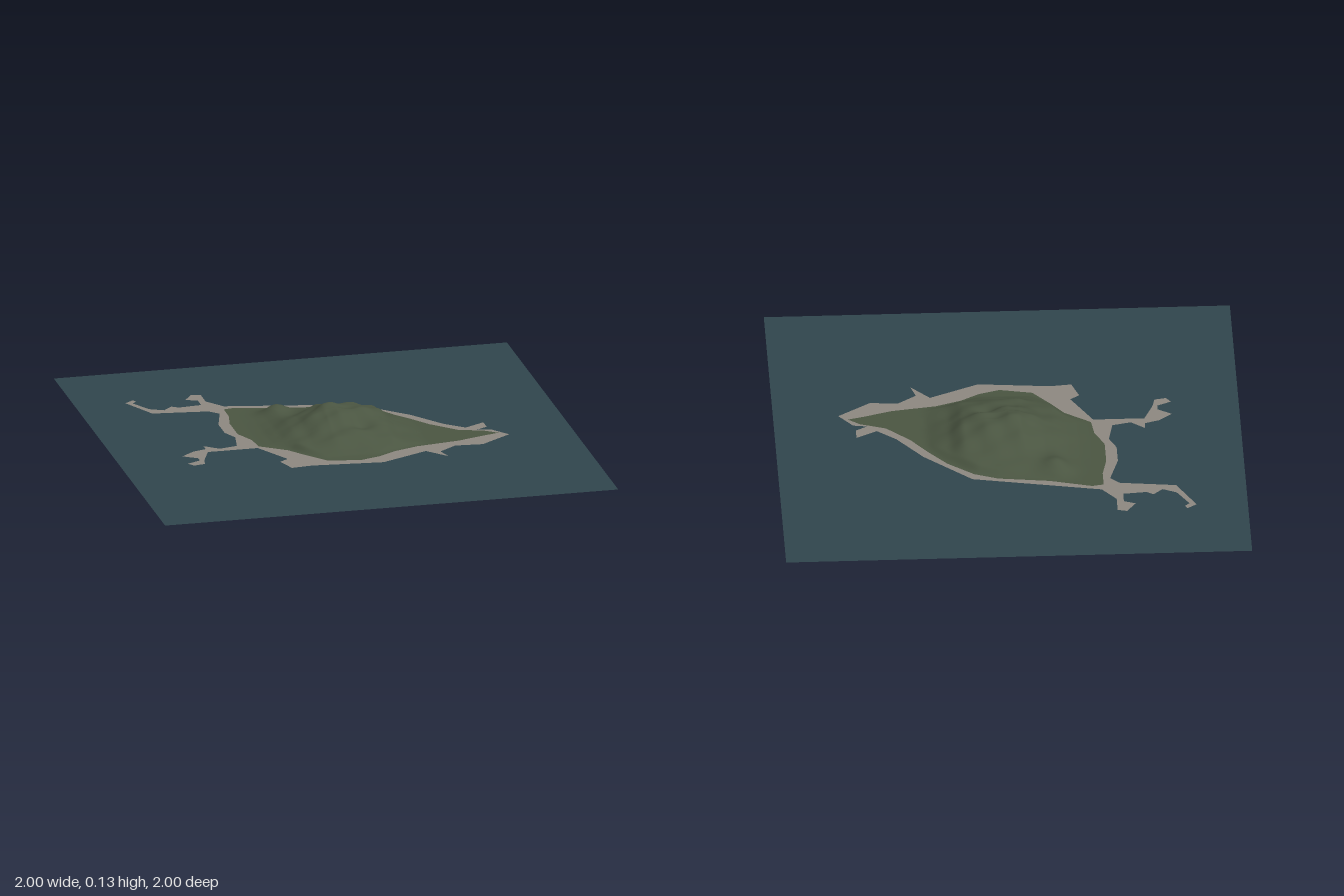
import * as THREE from 'three';

// Coastline and grass edge as x, z pairs in hundredths, clockwise from the back left
const COAST = [
  -38, -47, 17, -36, 37, -17, 48, -2, 56, 5, 65, 0, 65, 6, 60, 9, 66, 10, 72, 18, 58, 28, 46, 27,
  38, 33, 40, 40, 32, 31, 11, 41, -20, 38, -29, 39, -32, 30, -28, 27, -37, 10, -59, 10,
  -63, 20, -64, 25, -69, 26, -71, 23, -65, 20, -65, 17, -71, 13, -65, 8, -59, 6, -59, 2, -53, 7,
  -45, 5, -43, -6, -46, -13, -46, -24, -42, -38, -46, -42, -70, -45, -78, -61, -74, -64, -73, -62,
  -75, -60, -70, -51, -64, -48, -60, -52, -57, -50, -47, -51, -47, -57, -52, -59, -48, -65,
  -44, -64, -44, -55,
];
const GRASS = [
  -39, -43, -34, -44, -16, -39, 6, -36, 16, -32, 27, -23, 35, -13, 42, -3, 52, 7, 63, 11, 68, 15,
  61, 17, 49, 21, 30, 24, 19, 28, 11, 33, 2, 36, -12, 33, -20, 23, -25, 16, -36, 8, -37, -1,
  -41, -10, -41, -24, -39, -34,
];

// Ridge heights in thousandths, every 0.05 from -0.4 to 0.4
const ALONG_X = [0, 0, 5, 20, 48, 62, 92, 119, 120, 115, 110, 97, 83, 38, 22, 0, 0];
const ALONG_Z = [0, 8, 26, 40, 60, 86, 106, 120, 120, 105, 84, 72, 54, 22, 3, 0, 0];

const toPoints = (flat) => {
  const points = [];
  for (let i = 0; i < flat.length; i += 2) points.push(new THREE.Vector2(flat[i] / 100, -flat[i + 1] / 100));
  return points;
};

function sample(table, v) {
  const f = THREE.MathUtils.clamp((v + 0.4) / 0.05, 0, table.length - 1.001);
  const i = Math.floor(f);
  return THREE.MathUtils.lerp(table[i], table[i + 1], f - i) / 1000;
}

const bump = (x, z, cx, cz, r) => Math.exp(-((x - cx) ** 2 + (z - cz) ** 2) / (r * r));

// Terrain height: crossed ridge profiles, a knoll at the back and eroded hollows
function heightAt(x, z) {
  const base = (sample(ALONG_X, x) * sample(ALONG_Z, z)) / 0.12;
  const folds = 1 + 0.08 * Math.sin(x * 37 + z * 16) * Math.sin(z * 33 - x * 12);
  const knoll = 0.04 * bump(x, z, -0.19, -0.3, 0.06);
  const hollow = 0.022 * bump(x, z, 0.09, 0.09, 0.06) + 0.012 * bump(x, z, -0.06, 0.13, 0.05);
  return Math.max(0, base * folds + knoll - hollow);
}

// Flat ground with a hole cut out of it
function flatGeometry(outer, hole) {
  const shape = new THREE.Shape(outer);
  shape.holes.push(new THREE.Path(hole));
  return new THREE.ShapeGeometry(shape).rotateX(-Math.PI / 2);
}

// Hill: rings growing from the middle to the grass edge
function hillGeometry(edge, rings = 44, steps = 6) {
  const rim = [];
  edge.forEach((p, i) => {
    const next = edge[(i + 1) % edge.length];
    for (let s = 0; s < steps; s++) rim.push(p.clone().lerp(next, s / steps));
  });
  const n = rim.length;
  const positions = [0, heightAt(0, 0), 0];
  const index = [];
  for (let r = 1; r <= rings; r++) {
    const t = r / rings;
    const fade = THREE.MathUtils.smoothstep(1 - t, 0, 0.12);
    rim.forEach((p, i) => {
      const x = p.x * t, z = -p.y * t;
      positions.push(x, heightAt(x, z) * fade, z);
      const j = (i + 1) % n;
      const outer = 1 + (r - 1) * n;
      const inner = outer - n;
      if (r === 1) index.push(0, outer + j, outer + i);
      else index.push(inner + i, inner + j, outer + j, inner + i, outer + j, outer + i);
    });
  }
  const geometry = new THREE.BufferGeometry();
  geometry.setAttribute('position', new THREE.Float32BufferAttribute(positions, 3));
  geometry.setIndex(index);
  geometry.computeVertexNormals();
  return geometry;
}

export function createModel() {
  const group = new THREE.Group();
  group.name = 'island';

  const add = (name, colorName, color, geometry) => {
    const material = new THREE.MeshStandardMaterial({ color, side: THREE.DoubleSide });
    material.name = colorName;
    const mesh = new THREE.Mesh(geometry, material);
    mesh.name = name;
    group.add(mesh);
  };

  const coast = toPoints(COAST);
  const grass = toPoints(GRASS);
  const square = toPoints([-100, -100, 100, -100, 100, 100, -100, 100]);

  add('sea', 'deep sea blue', 0x30454c, flatGeometry(square, coast));
  add('shore', 'grey sand', 0x8c8780, flatGeometry(coast, grass));
  add('hill', 'moss green', 0x4a5541, hillGeometry(grass));
  return group;
}
